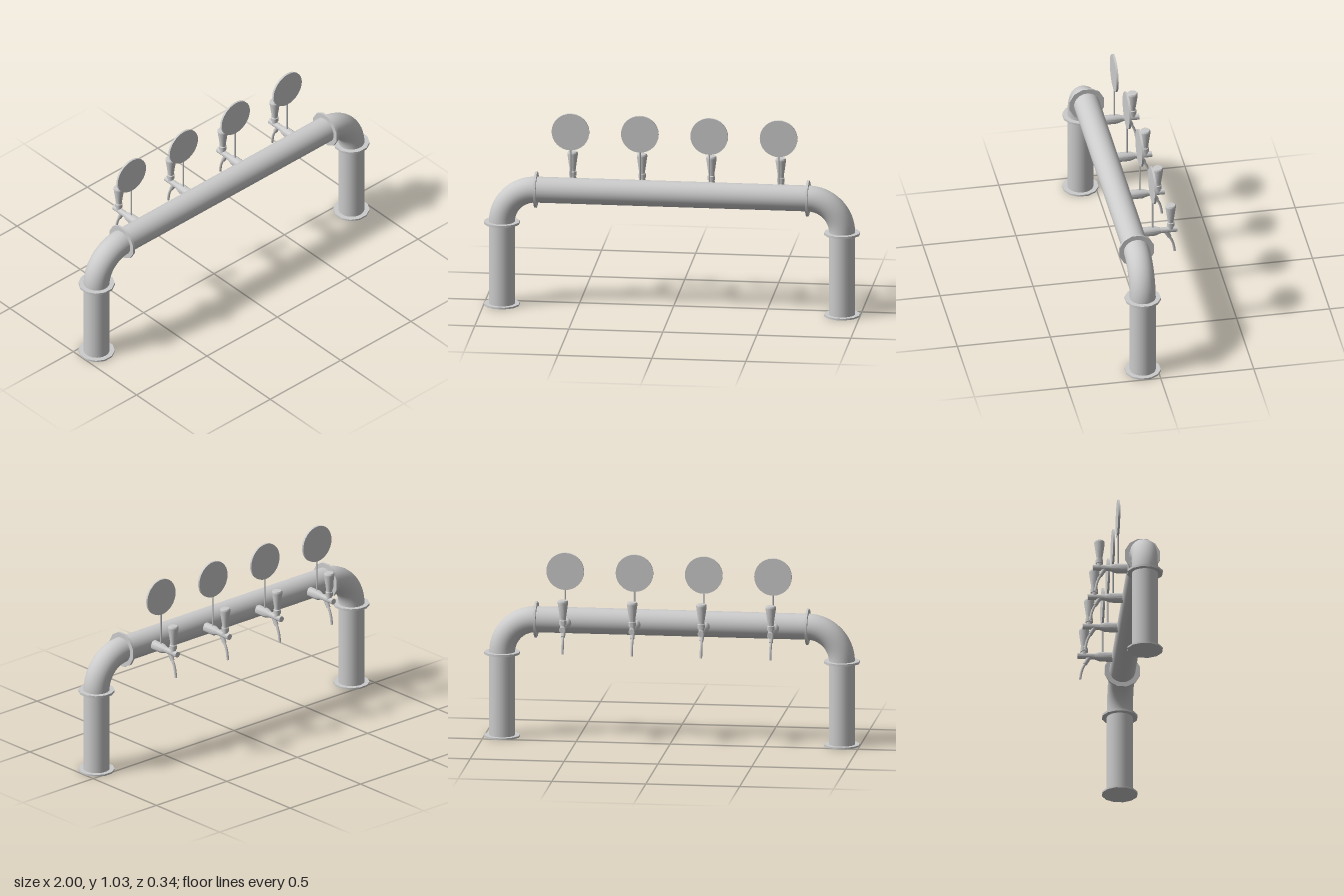
import * as THREE from 'three';
import { toCreasedNormals } from 'three/addons/utils/BufferGeometryUtils.js';

const grey = new THREE.MeshStandardMaterial({ color: 0xcccccc });
const greyOpen = new THREE.MeshStandardMaterial({ color: 0xcccccc, side: THREE.DoubleSide });

const PIPE_R = 0.069, PIPE_Z = 0.079, BEAM_Y = 0.638;
const LEG_X = 0.905, BEND_R = 0.182, LEG_TOP = BEAM_Y - BEND_R;

function add(parent, name, geometry, x = 0, y = 0, z = 0, material = grey) {
  const mesh = new THREE.Mesh(geometry, material);
  mesh.name = name;
  mesh.position.set(x, y, z);
  parent.add(mesh);
  return mesh;
}

const lathe = (profile, sides = 16) => toCreasedNormals(
  new THREE.LatheGeometry(profile.map(([r, y]) => new THREE.Vector2(r, y)), sides), 0.6);

// Twelve-sided pipe flange with flats facing the axes
const flange = (height) => new THREE.CylinderGeometry(0.096, 0.096, height, 12).rotateY(Math.PI / 12);

// Leg, elbow and flanges of one side
function createSide() {
  const side = new THREE.Group();
  add(side, 'leg', new THREE.CylinderGeometry(PIPE_R, PIPE_R, LEG_TOP, 28), LEG_X, LEG_TOP / 2);
  add(side, 'elbow', new THREE.TorusGeometry(BEND_R, PIPE_R, 28, 16, Math.PI / 2), LEG_X - BEND_R, LEG_TOP);
  add(side, 'basePlate', flange(0.009), LEG_X, 0.0045);
  add(side, 'legFlange', flange(0.012), LEG_X, LEG_TOP - 0.003);
  add(side, 'beamFlange', flange(0.012), LEG_X - BEND_R, BEAM_Y).rotation.z = Math.PI / 2;
  return side;
}

// One tap with its handle, spout and round sign
function createTap() {
  const tap = new THREE.Group();
  tap.name = 'tap';

  // Shank running backwards out of the beam
  add(tap, 'shank', lathe([
    [0, -0.03], [0.026, -0.03], [0.026, 0.05], [0.024, 0.058], [0.017, 0.078], [0.016, 0.084], [0.016, 0.171], [0, 0.171],
  ]), 0, 0.637, 0).rotation.x = -Math.PI / 2;

  // Collar and flared handle
  add(tap, 'handle', lathe([
    [0, 0.637], [0.015, 0.637], [0.015, 0.66], [0.02, 0.661], [0.02, 0.682], [0.016, 0.685],
    [0.017, 0.7], [0.028, 0.776], [0.028, 0.784], [0.024, 0.791], [0, 0.792],
  ]), 0, 0, -0.136);

  // Ferrule and bent spout
  const ferrule = add(tap, 'spoutFerrule', new THREE.CylinderGeometry(0.013, 0.011, 0.045, 14), 0, 0.611, -0.12);
  ferrule.rotation.x = 0.5;
  const path = new THREE.CatmullRomCurve3([
    [0, 0.602, -0.122], [0, 0.578, -0.138], [0, 0.545, -0.15], [0, 0.502, -0.157],
  ].map((p) => new THREE.Vector3(...p)));
  add(tap, 'spout', new THREE.TubeGeometry(path, 12, 0.007, 10), 0, 0, 0, greyOpen);

  // Sign on a thin rod
  add(tap, 'signRod', new THREE.CylinderGeometry(0.005, 0.005, 0.18, 10), 0, 0.745, -0.038);
  add(tap, 'signDisc', new THREE.CylinderGeometry(0.1, 0.1, 0.011, 32), 0, 0.927, -0.038).rotation.x = Math.PI / 2;
  return tap;
}

export function createModel() {
  const model = new THREE.Group();
  model.name = 'tapTower';

  // Pipe frame
  const frame = new THREE.Group();
  frame.name = 'pipeFrame';
  frame.position.z = PIPE_Z;
  const beamLength = 2 * (LEG_X - BEND_R);
  add(frame, 'beam', new THREE.CylinderGeometry(PIPE_R, PIPE_R, beamLength, 28), 0, BEAM_Y).rotation.z = Math.PI / 2;
  const left = createSide();
  left.name = 'leftSide';
  const right = createSide();
  right.name = 'rightSide';
  right.rotation.y = Math.PI;
  frame.add(left, right);
  model.add(frame);

  // Row of four taps
  for (let i = 0; i < 4; i++) {
    const tap = createTap();
    tap.position.x = (i - 1.5) * 0.369;
    model.add(tap);
  }
  return model;
}
